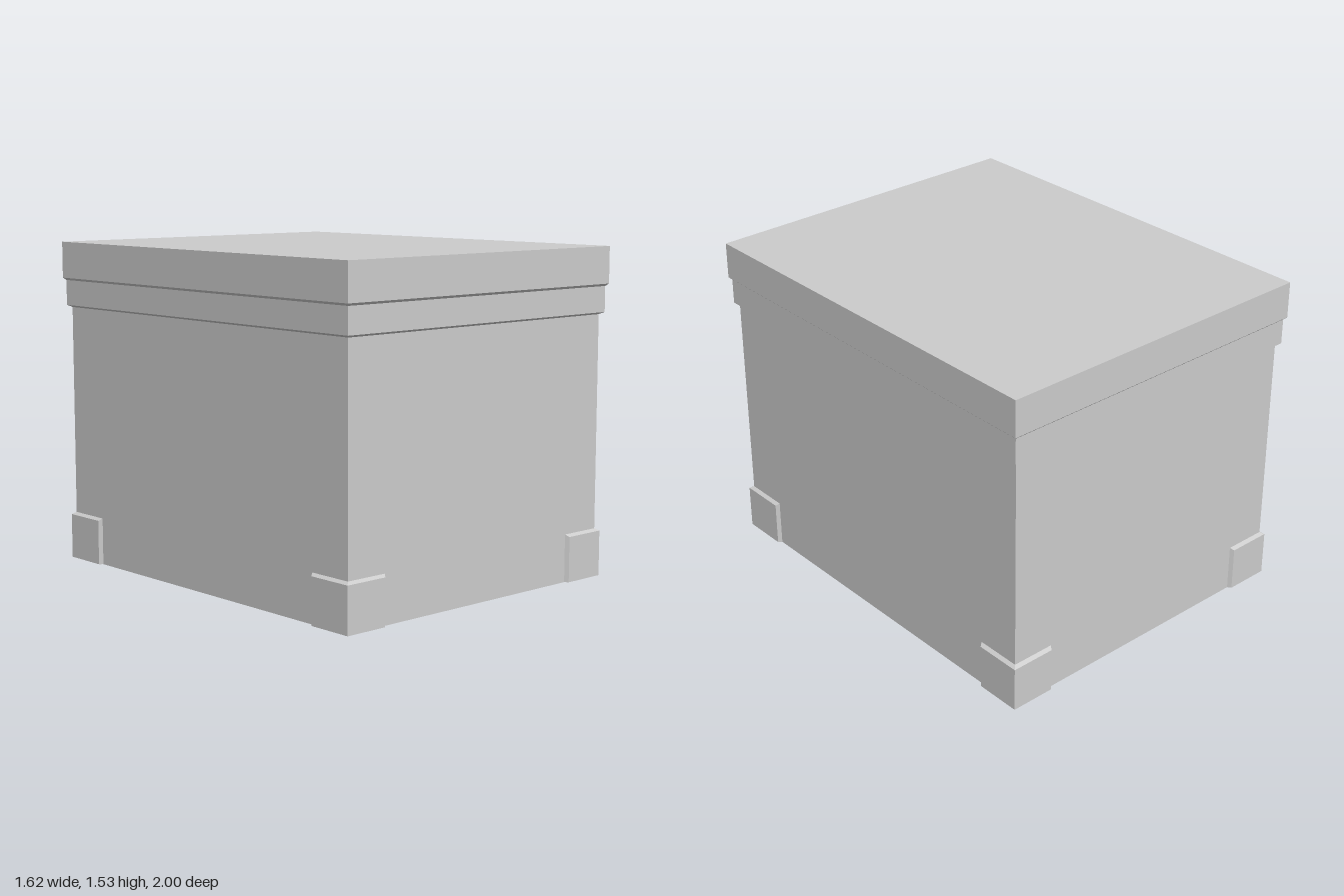
import * as THREE from 'three';

const HX = 0.812, HZ = 1; // half extents of the lid
const BODY = 0.031, TRIM = 0.012, FOOT = 0.014; // insets from the lid's sides
const material = new THREE.MeshStandardMaterial({ color: 0xcccccc, flatShading: true });

// Rectangle ring at height y, inset from the lid outline (counterclockwise from above)
function rect(inset, y) {
  const x = HX - inset, z = HZ - inset;
  return [[x, y, z], [x, y, -z], [-x, y, -z], [-x, y, z], [x, y, z]];
}

// Joins rings from bottom to top; optional centres close the ends with fans
function loft(name, rings, { bottom, top } = {}) {
  const pos = [];
  const tri = (...points) => points.forEach((p) => pos.push(...p));
  for (let r = 0; r < rings.length - 1; r++) {
    const lo = rings[r], hi = rings[r + 1];
    for (let i = 0; i < lo.length - 1; i++) {
      tri(lo[i], lo[i + 1], hi[i + 1]);
      tri(lo[i], hi[i + 1], hi[i]);
    }
  }
  const first = rings[0], last = rings[rings.length - 1];
  for (let i = 0; i < first.length - 1; i++) {
    if (bottom) tri(bottom, first[i + 1], first[i]);
    if (top) tri(top, last[i], last[i + 1]);
  }
  const geometry = new THREE.BufferGeometry();
  geometry.setAttribute('position', new THREE.Float32BufferAttribute(pos, 3));
  geometry.computeVertexNormals();
  const mesh = new THREE.Mesh(geometry, material);
  mesh.name = name;
  return mesh;
}

// Raised corner bracket, chamfered toward the body at its top and inner ends
function cornerFoot(name, sx, sz) {
  const bx = HX - BODY, bz = HZ - BODY, ox = HX - FOOT, oz = HZ - FOOT;
  const ix = 0.573, iz = 0.752, c = 0.012;
  const outer = [[ix, bz], [ix + c, oz], [ox, oz], [ox, iz + c], [bx, iz]];
  const inner = [[ix, bz], [ix, bz], [bx, bz], [bx, iz], [bx, iz]];
  const ring = (plan, y) => {
    const points = plan.map(([x, z]) => [x * sx, y, z * sz]);
    return sx * sz < 0 ? points.reverse() : points;
  };
  return loft(name, [ring(outer, 0), ring(outer, 0.212), ring(inner, 0.223)],
    { bottom: [bx * sx, 0, bz * sz] });
}

export function createModel() {
  const model = new THREE.Group();
  model.name = 'box';

  // Main box, the band under the lid and the lid, each flaring out with a small chamfer
  model.add(
    loft('body', [rect(BODY, 0), rect(BODY, 1.221)], { bottom: [0, 0, 0] }),
    loft('trimBand', [rect(BODY, 1.221), rect(TRIM, 1.231), rect(TRIM, 1.35)]),
    loft('lid', [rect(TRIM, 1.35), rect(0, 1.361), rect(0, 1.532)], { top: [0, 1.532, 0] }),
  );

  // Four corner feet
  for (const [sx, side] of [[1, 'Left'], [-1, 'Right']]) {
    for (const [sz, end] of [[1, 'front'], [-1, 'back']]) {
      model.add(cornerFoot(`${end}${side}Foot`, sx, sz));
    }
  }
  return model;
}
